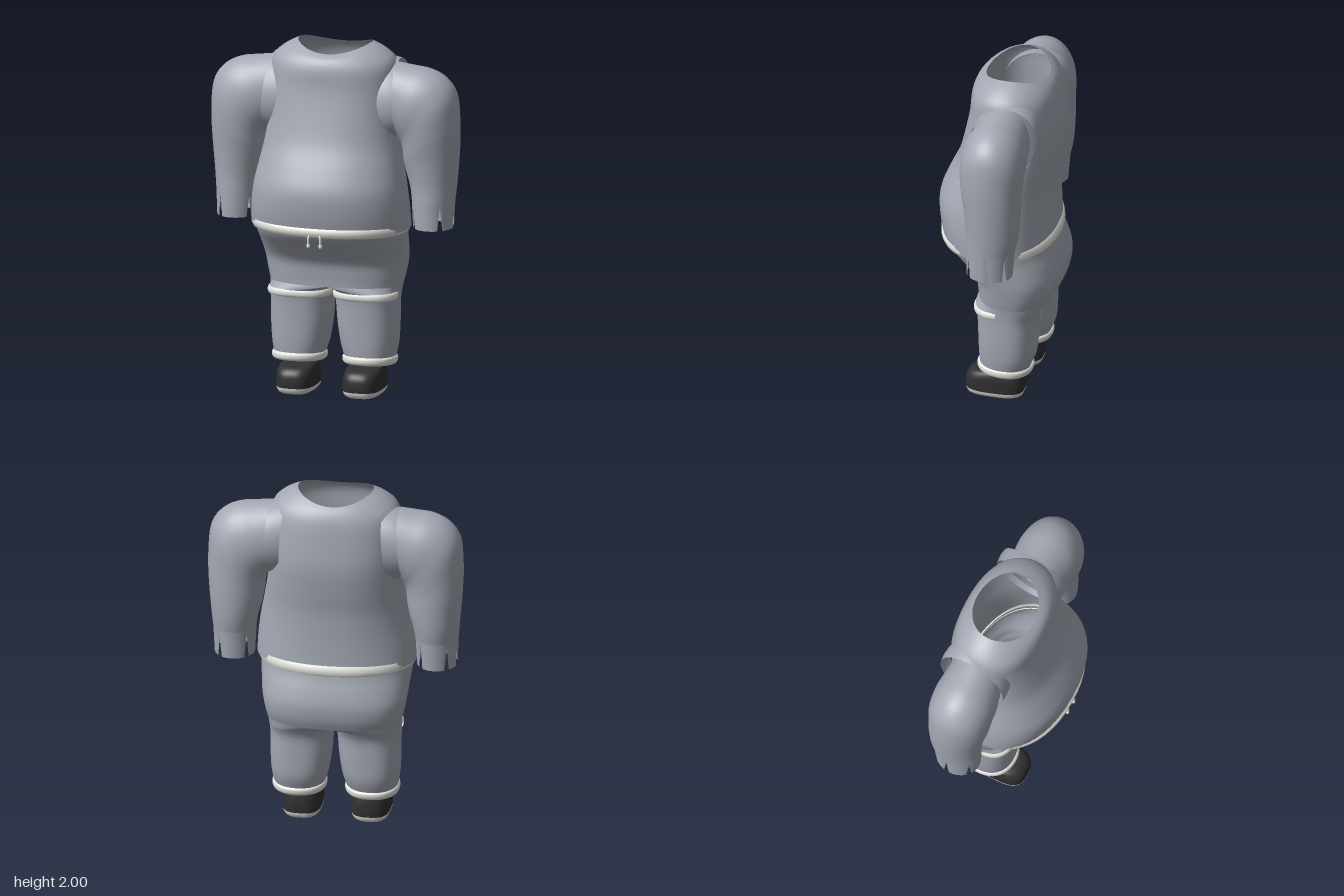
import * as THREE from 'three';

const mat = (name, color) => {
  const m = new THREE.MeshStandardMaterial({ color, side: THREE.DoubleSide });
  m.name = name;
  return m;
};

// Skin closed rings of equal point count into one smooth surface
function loft(rings, capEnd = false) {
  const n = rings[0].length, pos = [], idx = [];
  rings.forEach(r => r.forEach(p => pos.push(p.x, p.y, p.z)));
  for (let j = 0; j < rings.length - 1; j++) {
    for (let i = 0; i < n; i++) {
      const k = (i + 1) % n, a = j * n + i, b = j * n + k;
      idx.push(a, b, a + n, b, b + n, a + n);
    }
  }
  if (capEnd) {
    const last = rings[rings.length - 1], start = pos.length / 3;
    const c = last.reduce((s, p) => s.add(p), new THREE.Vector3()).divideScalar(n);
    last.forEach(p => pos.push(p.x, p.y, p.z));
    pos.push(c.x, c.y, c.z);
    for (let i = 0; i < n; i++) idx.push(start + i, start + (i + 1) % n, start + n);
  }
  const g = new THREE.BufferGeometry();
  g.setAttribute('position', new THREE.Float32BufferAttribute(pos, 3));
  g.setIndex(idx);
  g.computeVertexNormals();
  return g;
}

// Catmull-Rom interpolation between rows of section parameters
function smooth(rows, steps = 4) {
  const at = i => rows[Math.min(rows.length - 1, Math.max(0, i))], out = [];
  for (let i = 0; i < rows.length - 1; i++) {
    for (let s = 0; s < steps; s++) {
      const t = s / steps;
      out.push(at(i).map((p1, c) => {
        const p0 = at(i - 1)[c], p2 = at(i + 1)[c], p3 = at(i + 2)[c];
        return p1 + 0.5 * t * (p2 - p0 + t * (2 * p0 - 5 * p1 + 4 * p2 - p3 + t * (3 * (p1 - p2) + p3 - p0)));
      }));
    }
  }
  out.push(rows[rows.length - 1]);
  return out;
}

// Rounded section: [y, centre x, half width, front z, back z, squareness, side lift]
const SEG = 48;
function section([y, cx, rx, front, back, n = 2, lift = 0]) {
  const cz = (front + back) / 2, rz = (front - back) / 2;
  return Array.from({ length: SEG }, (_, i) => {
    const a = i / SEG * Math.PI * 2, c = Math.cos(a), s = Math.sin(a);
    return new THREE.Vector3(
      cx + rx * Math.sign(c) * Math.abs(c) ** (2 / n), y + lift * c * c,
      cz + rz * Math.sign(s) * Math.abs(s) ** (2 / n));
  });
}
const body = (rows, cap) => loft(smooth(rows).map(section), cap);

export function createModel() {
  const model = new THREE.Group();
  const cloth = mat('grey cloth', 0xa3a8b3);
  const trim = mat('off-white trim', 0xe4e4de);
  const black = mat('black shoe', 0x303030);
  const soleMat = mat('pale sole', 0xd8d8d4);
  const add = (name, geo, m, parent = model) => {
    const mesh = new THREE.Mesh(geo, m);
    mesh.name = name;
    parent.add(mesh);
    return mesh;
  };

  // Shirt body with round belly and open neck
  add('shirt', body([
    [0.965, 0, 0.452, 0.325, -0.30, 2.2, 0],
    [1.08, 0, 0.447, 0.35, -0.295, 2.2, 0],
    [1.20, 0, 0.432, 0.355, -0.295, 2.2, 0],
    [1.32, 0, 0.408, 0.31, -0.30, 2.25, 0],
    [1.45, 0, 0.385, 0.25, -0.32, 2.3, 0],
    [1.60, 0, 0.368, 0.21, -0.335, 2.4, 0],
    [1.75, 0, 0.362, 0.18, -0.322, 2.4, 0],
    [1.86, 0, 0.355, 0.172, -0.305, 2.2, 0.03],
    [1.92, 0, 0.29, 0.148, -0.28, 2.05, 0.04],
    [1.95, 0, 0.212, 0.105, -0.25, 2, 0.05],
  ]), cloth);

  // Hips, ending where the legs divide
  const crotch = [0.62, 0, 0.376, 0.117, -0.312, 2.6];
  add('trouserHips', body([
    [0.98, 0, 0.43, 0.318, -0.293, 2.3],
    [0.92, 0, 0.425, 0.285, -0.305, 2.3],
    [0.84, 0, 0.415, 0.205, -0.33, 2.4],
    [0.76, 0, 0.405, 0.14, -0.345, 2.5],
    [0.68, 0, 0.39, 0.123, -0.335, 2.6],
    crotch,
  ]), cloth);

  // Waistband and its drawstrings
  add('waistband', loft([
    [1.006, 0, 0.435, 0.32, -0.29, 2.2], [0.998, 0, 0.444, 0.346, -0.308, 2.2],
    [0.972, 0, 0.446, 0.346, -0.312, 2.2], [0.95, 0, 0.442, 0.335, -0.312, 2.2],
    [0.94, 0, 0.425, 0.295, -0.30, 2.2],
  ].map(section)), trim);
  for (const x of [-0.035, 0.035]) {
    const cord = new THREE.CatmullRomCurve3([
      new THREE.Vector3(x * 0.8, 0.97, 0.335), new THREE.Vector3(x, 0.945, 0.342), new THREE.Vector3(x, 0.905, 0.338)]);
    add('drawstring', new THREE.TubeGeometry(cord, 8, 0.006, 8), trim);
    const bead = add('drawstringBead', new THREE.SphereGeometry(0.011, 12, 8), trim);
    bead.position.set(x, 0.903, 0.338);
    bead.scale.y = 1.3;
  }

  // Sleeve rows: outer x, y, inner x, y, half depth, centre z
  const sleeveRows = smooth([
    [0.33, 1.895, 0.33, 1.49, 0.155, -0.075],
    [0.45, 1.88, 0.365, 1.47, 0.17, -0.07],
    [0.55, 1.865, 0.385, 1.45, 0.18, -0.068],
    [0.64, 1.82, 0.395, 1.425, 0.18, -0.068],
    [0.702, 1.73, 0.40, 1.39, 0.178, -0.068],
    [0.718, 1.57, 0.402, 1.35, 0.17, -0.07],
    [0.715, 1.42, 0.415, 1.28, 0.16, -0.078],
    [0.70, 1.23, 0.437, 1.20, 0.148, -0.08],
    [0.69, 1.12, 0.45, 1.12, 0.138, -0.07],
  ]);
  const notches = [7, 19, 30, 41, 47];
  const sleeveRing = ([ox, oy, ix, iy, d, cz], ragged) => Array.from({ length: SEG }, (_, i) => {
    const a = i / SEG * Math.PI * 2, t = (1 + Math.cos(a)) / 2;
    const y = iy + (oy - iy) * t;
    return new THREE.Vector3(ix + (ox - ix) * t, ragged && notches.includes(i) ? 1.1 : y, cz + d * Math.sin(a));
  });
  const sleeveGeo = loft([
    ...sleeveRows.map(r => sleeveRing(r, false)),
    sleeveRing([0.683, 0.966, 0.458, 0.966, 0.13, -0.065], true),
  ]);

  // Raised armhole edge around the shoulder
  const armholeRing = (x, ry, rz) => Array.from({ length: SEG }, (_, i) => {
    const a = i / SEG * Math.PI * 2, s = Math.sin(a);
    return new THREE.Vector3(x - 0.015 * s, 1.69 + ry * s, -0.085 - rz * Math.cos(a) - 0.03 * s);
  });
  const armholeGeo = loft([armholeRing(0.29, 0.228, 0.195), armholeRing(0.34, 0.222, 0.2), armholeRing(0.378, 0.212, 0.195)]);

  // Leg: starts as half of the hip outline, then rounds into a tube
  const legGeo = loft([
    section(crotch).map(p => p.setX(Math.max(p.x, 0.003))),
    ...smooth([
      [0.585, 0.188, 0.183, 0.112, -0.272, 2.5],
      [0.52, 0.19, 0.177, 0.102, -0.243, 2.4],
      [0.40, 0.194, 0.172, 0.096, -0.236, 2.4],
      [0.28, 0.20, 0.16, 0.092, -0.228, 2.3],
      [0.20, 0.205, 0.142, 0.085, -0.20, 2.2],
    ]).map(section),
  ]);
  const cuffGeo = body([
    [0.222, 0.205, 0.143, 0.085, -0.205, 2.2], [0.212, 0.205, 0.152, 0.10, -0.214, 2.2],
    [0.19, 0.205, 0.152, 0.10, -0.212, 2.2], [0.175, 0.205, 0.142, 0.088, -0.20, 2.2],
    [0.18, 0.205, 0.128, 0.075, -0.185, 2.2],
  ]);
  cuffGeo.rotateX(-0.06).translate(0, -0.004, 0.012);

  // Knee band wraps only the front half of the leg
  const kneePath = new THREE.CatmullRomCurve3(Array.from({ length: 17 }, (_, i) => {
    const a = Math.PI * i / 16, c = Math.cos(a);
    return new THREE.Vector3(0.19 + 0.174 * Math.sign(c) * Math.abs(c) ** 0.75, 0, -0.04 + 0.146 * Math.sin(a) ** 0.75);
  }));
  const kneeGeo = new THREE.TubeGeometry(kneePath, 40, 0.012, 10);
  kneeGeo.scale(1, 1.8, 1);
  kneeGeo.translate(0, 0.567, 0);

  // Rounded shoe with open ankle, pale sole and insole
  const shoeGeo = body([
    [0.182, 0.193, 0.085, 0.015, -0.15, 2.2],
    [0.165, 0.193, 0.088, 0.03, -0.153, 2.2],
    [0.148, 0.193, 0.10, 0.125, -0.158, 2.5],
    [0.115, 0.193, 0.108, 0.163, -0.163, 2.8],
    [0.07, 0.193, 0.109, 0.17, -0.165, 3],
    [0.035, 0.193, 0.107, 0.168, -0.163, 3],
  ]);
  const soleGeo = loft([
    [0.038, 0.193, 0.107, 0.168, -0.163, 3], [0.025, 0.193, 0.107, 0.168, -0.163, 3],
    [0.008, 0.193, 0.098, 0.16, -0.155, 3], [0, 0.193, 0.085, 0.148, -0.143, 3],
  ].map(section), true);
  const insoleGeo = loft([
    [0.05, 0.193, 0.1, 0.155, -0.155, 3], [0.05, 0.193, 0.05, 0.08, -0.08, 3],
  ].map(section), true);

  // Paired parts, mirrored across the middle
  for (const [side, s] of [['left', 1], ['right', -1]]) {
    const half = new THREE.Group();
    half.name = side + 'Side';
    half.scale.x = s;
    model.add(half);
    add(side + 'Sleeve', sleeveGeo, cloth, half);
    add(side + 'Armhole', armholeGeo, cloth, half);
    add(side + 'TrouserLeg', legGeo, cloth, half);
    add(side + 'KneeBand', kneeGeo, trim, half);
    add(side + 'Cuff', cuffGeo, trim, half);
    add(side + 'Shoe', shoeGeo, black, half);
    add(side + 'Sole', soleGeo, soleMat, half);
    add(side + 'Insole', insoleGeo, soleMat, half);
  }
  return model;
}
